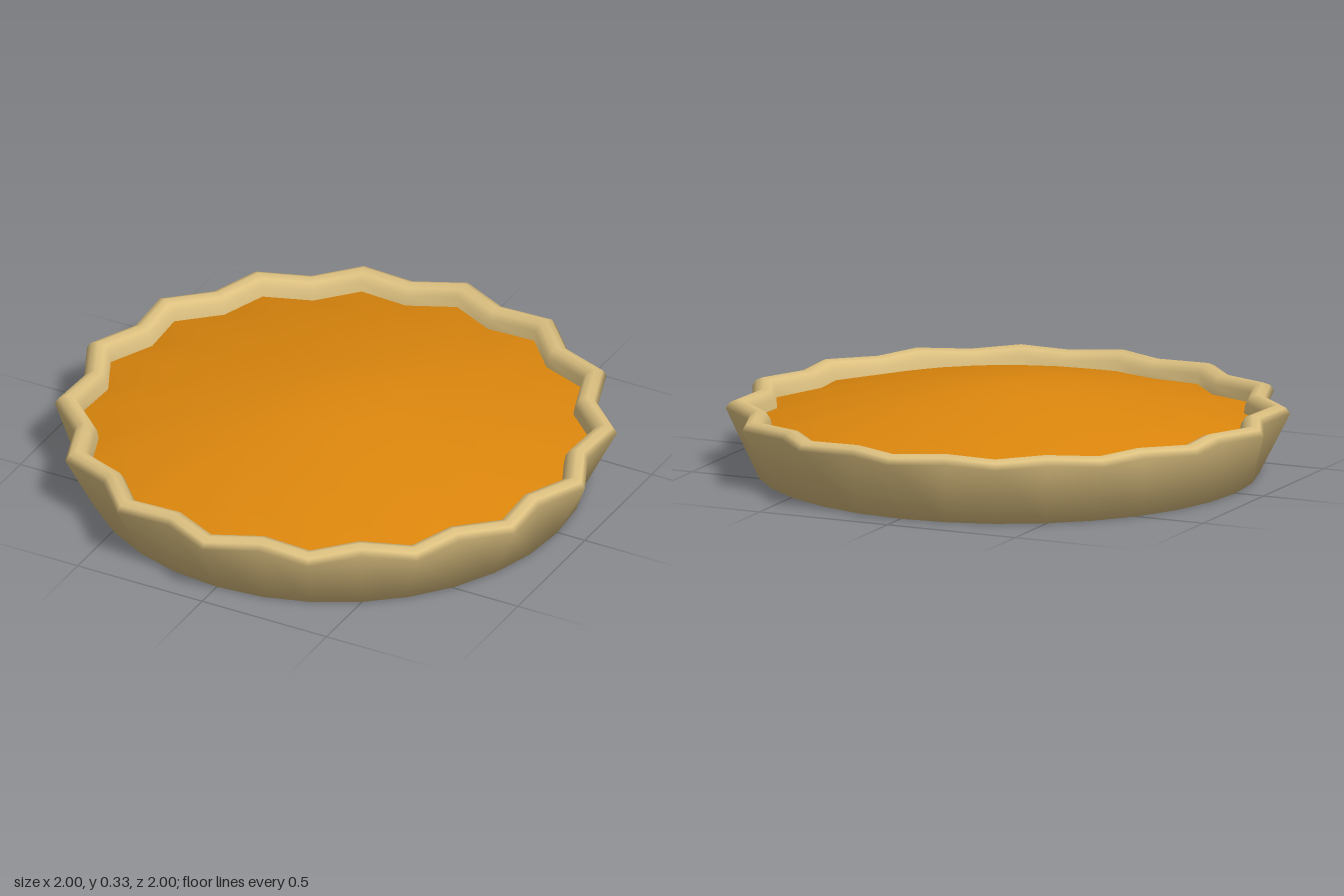
import * as THREE from 'three';
import { mergeVertices } from 'three/addons/utils/BufferGeometryUtils.js';

const SIDES = 32; // sixteen flutes: peak, valley, peak, ...
const VALLEY = 0.932;

// Turned surface from [radius, height, fluted] rows; every second side of a fluted row is pulled inwards.
function flutedLathe(rows) {
  const geo = new THREE.LatheGeometry(rows.map(([r, y]) => new THREE.Vector2(r, y)), SIDES);
  const pos = geo.attributes.position;
  for (let i = 0; i < pos.count; i++) {
    const side = Math.floor(i / rows.length);
    const fluted = rows[i % rows.length][2];
    if (fluted && side % 2) {
      pos.setX(i, pos.getX(i) * VALLEY);
      pos.setZ(i, pos.getZ(i) * VALLEY);
    }
  }
  // Weld the seam and the poles so the shading is smooth all round
  geo.deleteAttribute('uv');
  geo.deleteAttribute('normal');
  const welded = mergeVertices(geo, 1e-4);
  welded.computeVertexNormals();
  return welded;
}

function part(name, rows, color) {
  const mesh = new THREE.Mesh(flutedLathe(rows), new THREE.MeshStandardMaterial({ color }));
  mesh.name = name;
  return mesh;
}

export function createModel() {
  const pie = new THREE.Group();
  pie.name = 'pie';

  // Crust: round base, wall flaring into a fluted, rounded rim
  pie.add(part('crust', [
    [0, 0, false],
    [0.89, 0, false],
    [1.0, 0.215, true],
    [0.985, 0.237, true],
    [0.958, 0.248, true],
    [0.93, 0.24, true],
    [0.912, 0.215, true],
    [0.903, 0.17, true],
  ], 0xdcc080));

  // Filling: shallow dome meeting the inside of the rim
  pie.add(part('filling', [
    [0.905, 0.18, true],
    [0.7, 0.229, false],
    [0.47, 0.272, false],
    [0.235, 0.312, false],
    [0, 0.326, false],
  ], 0xdb860d));

  return pie;
}
